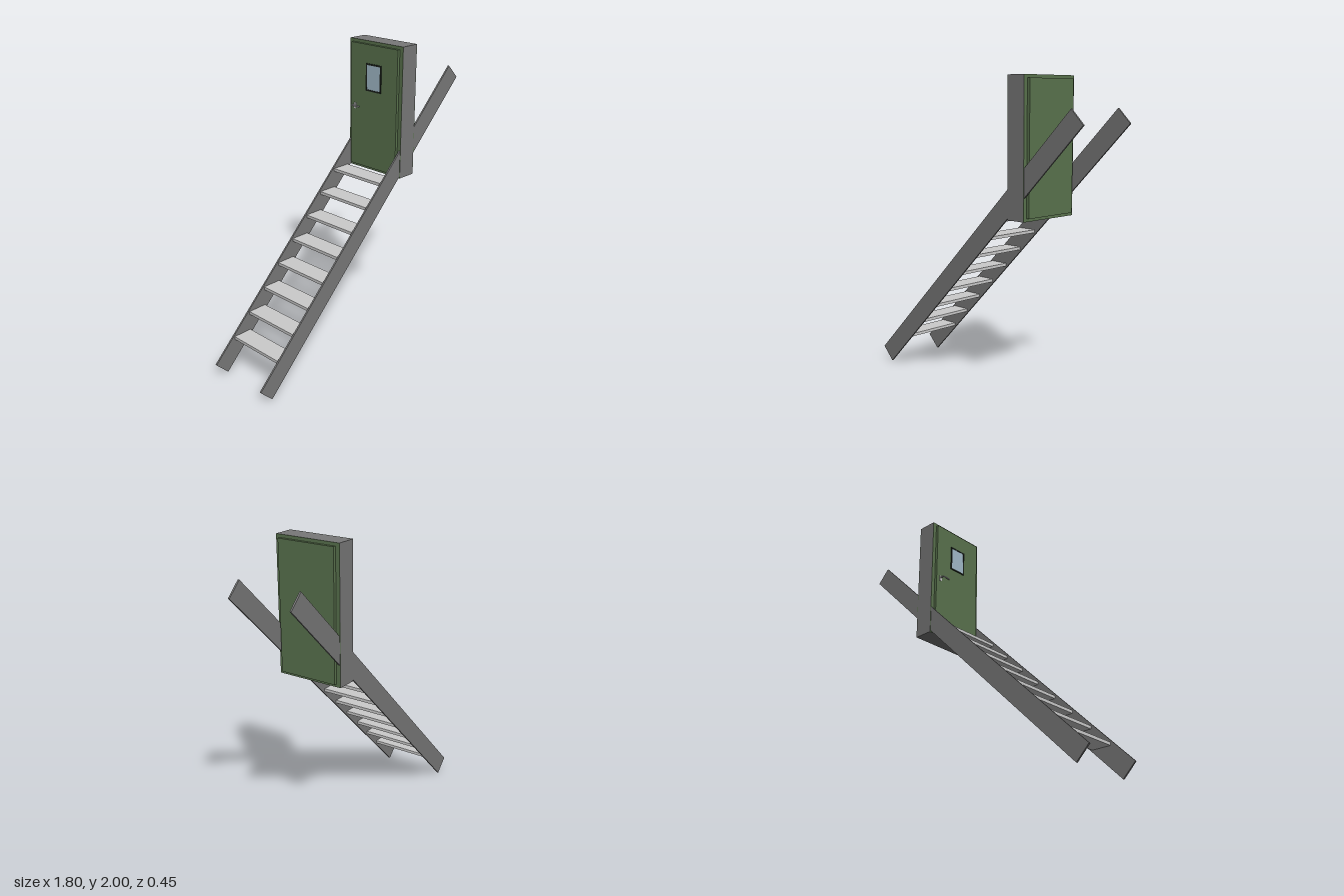
import * as THREE from 'three';

const mat = (color) => new THREE.MeshStandardMaterial({ color });

export function createModel() {
  const model = new THREE.Group();
  const darkGrey = mat(0x787878);
  const grey = mat(0xcccccc);
  const green = mat(0x5a734e);
  const black = mat(0x1c221c);
  const glass = mat(0xa4bccb);

  // Adds a mesh to the model
  const add = (name, geometry, material, x, y, z) => {
    const mesh = new THREE.Mesh(geometry, material);
    mesh.name = name;
    mesh.position.set(x, y, z);
    model.add(mesh);
    return mesh;
  };
  // Box given by its extents along each axis
  const box = (name, material, [x0, x1], [y0, y1], [z0, z1]) =>
    add(name, new THREE.BoxGeometry(x1 - x0, y1 - y0, z1 - z0), material,
      (x0 + x1) / 2, (y0 + y1) / 2, (z0 + z1) / 2);

  // Sloping side beams
  for (const side of [-1, 1]) {
    const beam = add(side > 0 ? 'leftStringer' : 'rightStringer',
      new THREE.BoxGeometry(2.425, 0.125, 0.011), darkGrey, 0, 0.905, side * 0.2145);
    beam.rotation.z = Math.PI / 4;
  }

  // Treads, one riser apart
  for (let i = 0; i < 8; i++) {
    const x = -0.745 + 0.13 * i;
    const y = 0.215 + 0.13 * i;
    box('tread' + (i + 1), grey, [x, x + 0.13], [y, y + 0.02], [-0.21, 0.21]);
  }

  // Door frame block with green faces on both sides
  box('doorFrame', darkGrey, [0.336, 0.464], [1.14, 2], [-0.223, 0.223]);
  box('frameFacingOuter', green, [0.464, 0.466], [1.14, 2], [-0.223, 0.223]);
  box('frameFacingStair', green, [0.334, 0.336], [1.14, 2], [-0.223, 0.223]);

  // Raised door leaf on each face
  box('doorLeafOuter', green, [0.466, 0.486], [1.16, 1.98], [-0.196, 0.196]);
  box('doorLeafStair', green, [0.315, 0.334], [1.16, 1.98], [-0.196, 0.196]);

  // Window with a dark surround, on the stair side only
  const surround = new THREE.Shape();
  surround.moveTo(-0.065, -0.09).lineTo(0.065, -0.09).lineTo(0.065, 0.09).lineTo(-0.065, 0.09).closePath();
  const opening = new THREE.Path();
  opening.moveTo(-0.055, -0.08).lineTo(-0.055, 0.08).lineTo(0.055, 0.08).lineTo(0.055, -0.08).closePath();
  surround.holes.push(opening);
  const surroundGeo = new THREE.ExtrudeGeometry(surround, { depth: 0.005, bevelEnabled: false });
  surroundGeo.rotateY(-Math.PI / 2);
  add('windowSurround', surroundGeo, black, 0.315, 1.77, 0);
  box('windowGlass', glass, [0.312, 0.316], [1.69, 1.85], [-0.055, 0.055]);

  // Door handle: back plate, stem and lever
  box('handlePlate', grey, [0.311, 0.316], [1.545, 1.583], [-0.169, -0.151]);
  const stem = new THREE.CylinderGeometry(0.005, 0.005, 0.032, 12).rotateZ(Math.PI / 2);
  add('handleStem', stem, grey, 0.299, 1.57, -0.16);
  const leverPath = new THREE.CatmullRomCurve3([
    new THREE.Vector3(0.286, 1.57, -0.163),
    new THREE.Vector3(0.284, 1.57, -0.14),
    new THREE.Vector3(0.288, 1.57, -0.104),
  ]);
  add('handleLever', new THREE.TubeGeometry(leverPath, 10, 0.005, 10), grey, 0, 0, 0);
  for (const p of [leverPath.getPoint(0), leverPath.getPoint(1)]) {
    add('handleLeverEnd', new THREE.SphereGeometry(0.005, 10, 8), grey, p.x, p.y, p.z);
  }

  return model;
}
